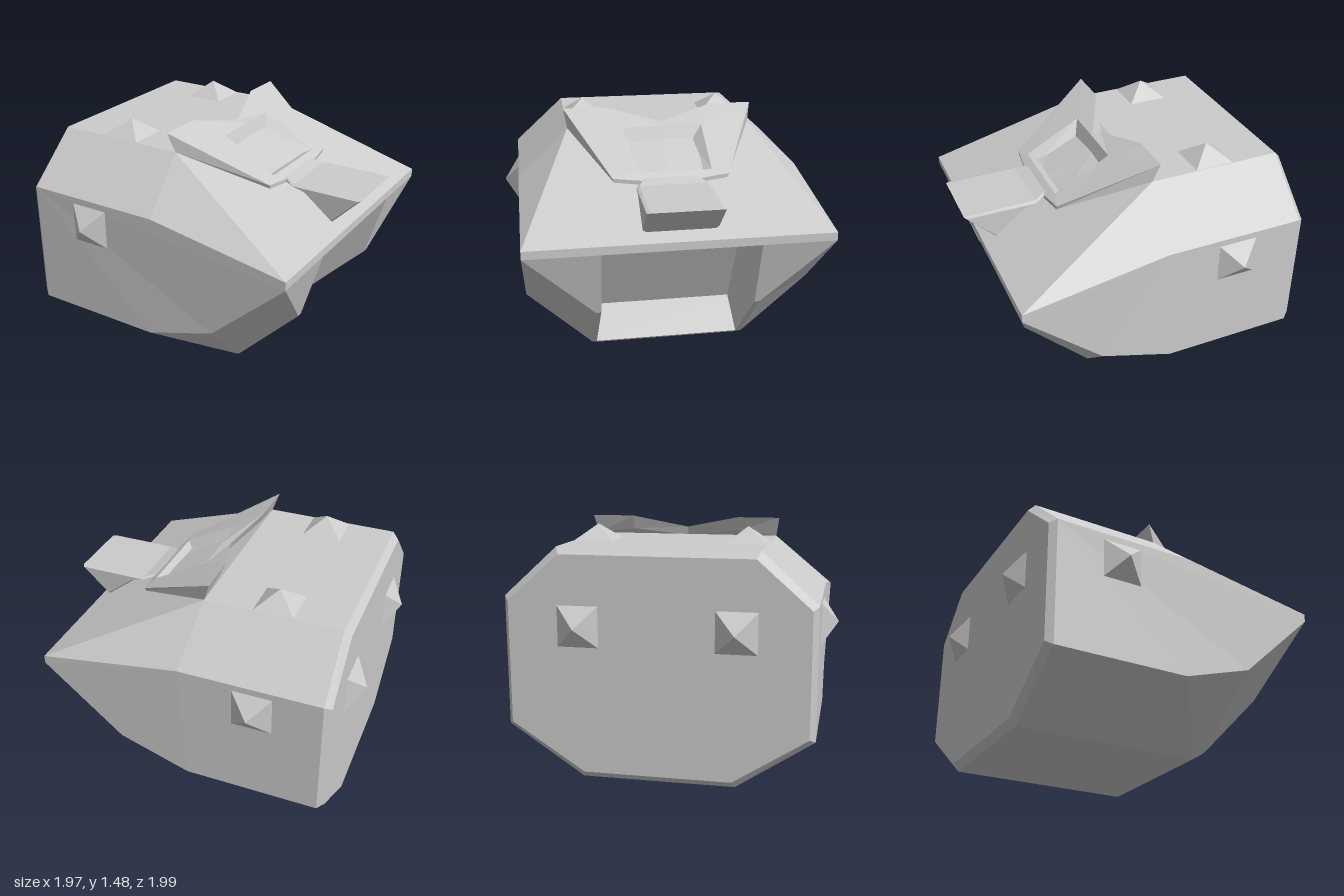
import * as THREE from 'three';

const material = new THREE.MeshStandardMaterial({ color: 0xcccccc, flatShading: true, side: THREE.DoubleSide });
const flip = ([x, y, z]) => [x, y, -z];

// Mesh from flat polygons. "halves" are mirrored across z = 0, "spans" are used once.
function polyMesh(name, halves, spans = []) {
  const faces = [...spans, ...halves, ...halves.map((f) => f.map(flip).reverse())];
  const out = [];
  for (const f of faces) {
    for (let i = 1; i < f.length - 1; i++) out.push(...f[0], ...f[i], ...f[i + 1]);
  }
  const geo = new THREE.BufferGeometry();
  geo.setAttribute('position', new THREE.Float32BufferAttribute(out, 3));
  geo.computeVertexNormals();
  const mesh = new THREE.Mesh(geo, material);
  mesh.name = name;
  return mesh;
}

// Strip crossing the centre line: a and b run to their mirrored points
const across = (a, b) => [a, flip(a), flip(b), b];

function makeBody() {
  // Rear section, from the bottom corner up to the roof corner
  const a = [[-0.86, 0, 0.45], [-0.86, 0.3, 0.9], [-0.86, 1.07, 0.9], [-0.86, 1.36, 0.58]];
  // Section where the nose begins
  const b = [[0.28, 0, 0.45], [-0.04, 0.3, 0.9], [0, 1.07, 0.9], [-0.04, 1.36, 0.58]];
  // Chamfered rear cap
  const r = a.map(([, y, z]) => [-0.9, 0.69 + (y - 0.69) * 0.94, z * 0.965]);
  // Nose: cheek corner, lip edge, mouth rim and cavity
  const cheek = [0.4, 0.44, 0.89];
  const lipTop = [0.875, 0.93, 0.9], lipLow = [0.875, 0.88, 0.9];
  const f = [[0.34, 0.04, 0.49], [0.75, 0.46, 0.49], [0.875, 0.88, 0.49]];
  const g = [[0.32, 0.03, 0.46], [0.75, 0.46, 0.46], [0.875, 0.88, 0.46]];
  const roofIn = [0.29, 0.62, 0.46], floorIn = [0.07, 0.17, 0.46];

  const halves = [
    [a[2], a[1], b[1], cheek, lipLow, lipTop, b[2]],
    [a[2], b[2], b[3], a[3]],
    [b[2], lipTop, b[3]],
    [a[0], b[0], b[1], a[1]],
    [b[0], cheek, b[1]],
    [b[0], f[0], cheek],
    [f[0], f[1], cheek],
    [f[1], lipLow, cheek],
    [f[1], f[2], lipLow],
    [f[0], g[0], g[1], f[1]],
    [f[1], g[1], g[2], f[2]],
    [b[0], g[0], f[0]],
    [floorIn, roofIn, g[2], g[1], g[0]],
  ];
  for (let i = 0; i < 3; i++) halves.push([a[i], a[i + 1], r[i + 1], r[i]]);

  const spans = [
    across(lipLow, lipTop),
    across(b[0], g[0]),
    across(roofIn, g[2]),
    across(floorIn, roofIn),
    across(g[0], floorIn),
    across(a[0], b[0]),
    across(b[3], a[3]),
    across(lipTop, b[3]),
    across(a[3], r[3]),
    across(r[0], a[0]),
    [...r, ...r.map(flip).reverse()],
  ];
  return polyMesh('body', halves, spans);
}

function makeCrestPlate() {
  // Upper and lower outline, from the front centre round to the rear notch
  const top = [[0.48, 1.165, 0], [0.48, 1.165, 0.18], [0.46, 1.18, 0.35],
    [-0.08, 1.475, 0.6], [-0.08, 1.475, 0.34], [0.03, 1.4, 0]];
  const low = [[0.48, 1.14, 0], [0.48, 1.14, 0.17], [0.46, 1.155, 0.34],
    [-0.04, 1.36, 0.58], [-0.04, 1.39, 0.34], [0.05, 1.345, 0]];
  // Recess: rim, inner corners and centre peak
  const p0 = [0.09, 1.385, 0.25], p1 = [0.43, 1.2, 0.25];
  const q0 = [0.09, 1.385, 0], q1 = [0.43, 1.2, 0];
  const s0 = [0.13, 1.29, 0.18], s1 = [0.37, 1.175, 0.18];
  const u0 = [0.13, 1.29, 0], u1 = [0.37, 1.175, 0];
  const peak = [0.21, 1.27, 0];

  const halves = [
    [top[3], top[2], p1, p0],
    [top[3], p0, top[4]],
    [top[4], p0, q0, top[5]],
    [top[2], top[1], p1],
    [top[1], top[0], q1, p1],
    [p0, p1, s1, s0],
    [p1, q1, u1, s1],
    [q0, p0, s0, u0],
    [s0, s1, peak],
    [s1, u1, peak],
    [u0, s0, peak],
    [low[0], low[1], low[2], low[3], low[5]],
    [low[3], low[4], low[5]],
  ];
  for (let i = 1; i < 5; i++) halves.push([low[i + 1], low[i], top[i], top[i + 1]]);
  return polyMesh('crestPlate', halves, [across(low[1], top[1])]);
}

// Wedge-shaped visor with a thin, narrower neck reaching the plate
function makeVisor() {
  const profile = [[0.47, 1.165], [0.54, 1.145], [0.965, 1.145], [0.8, 0.985], [0.62, 1.125], [0.47, 1.15]];
  const shape = new THREE.Shape(profile.map(([x, y]) => new THREE.Vector2(x, y)));
  const geo = new THREE.ExtrudeGeometry(shape, {
    depth: 0.4, bevelEnabled: true, bevelThickness: 0.02, bevelSize: 0.01, bevelSegments: 1,
  });
  geo.translate(0, 0, -0.2);
  const pos = geo.attributes.position;
  for (let i = 0; i < pos.count; i++) {
    if (pos.getX(i) < 0.51) pos.setZ(i, pos.getZ(i) * 0.8);
  }
  geo.computeVertexNormals();
  const mesh = new THREE.Mesh(geo, material);
  mesh.name = 'visor';
  return mesh;
}

// Four-sided studs on the roof, flanks and rear
function makeStuds() {
  const group = new THREE.Group();
  group.name = 'studs';
  const geo = new THREE.ConeGeometry(0.12 * Math.SQRT2, 0.095, 4, 1);
  geo.rotateY(Math.PI / 4);
  geo.translate(0, 0.0475, 0);
  const up = new THREE.Vector3(0, 1, 0);
  for (const s of [1, -1]) {
    const spots = [
      ['roofStud', [-0.45, 1.36, 0.455 * s], [0, 1, 0]],
      ['sideStud', [-0.45, 0.91, 0.9 * s], [0, 0, s]],
      ['rearStud', [-0.9, 0.91, 0.455 * s], [-1, 0, 0]],
    ];
    for (const [name, at, dir] of spots) {
      const stud = new THREE.Mesh(geo, material);
      stud.name = name;
      stud.position.set(...at);
      stud.quaternion.setFromUnitVectors(up, new THREE.Vector3(...dir));
      group.add(stud);
    }
  }
  return group;
}

export function createModel() {
  const model = new THREE.Group();
  model.name = 'model';
  model.add(makeBody(), makeCrestPlate(), makeVisor(), makeStuds());
  return model;
}
